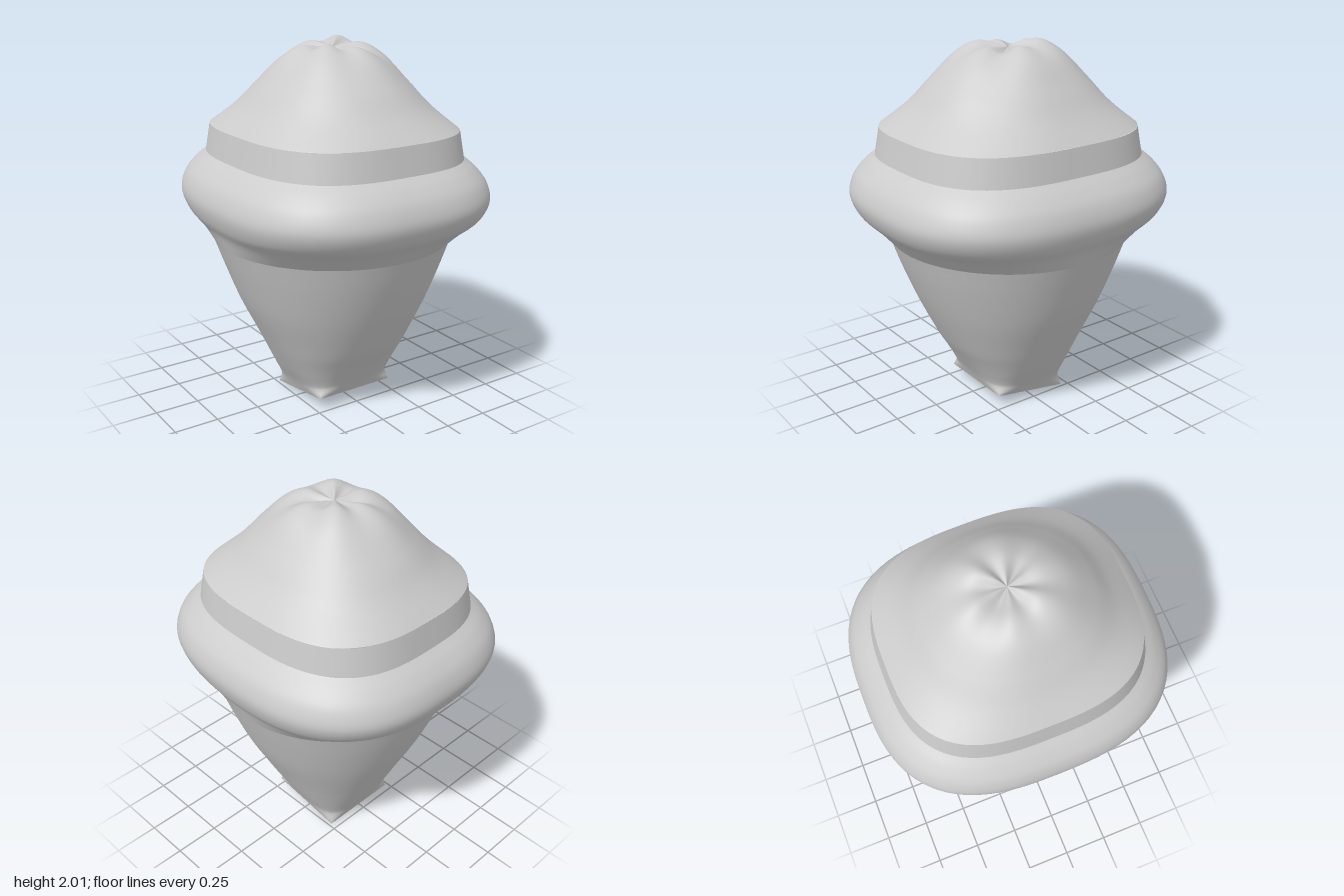
import * as THREE from 'three';

const SEG = 96;

// Lofts rings given as [y, halfX, halfZ, k]; k = 1 / superellipse exponent (0 square, 0.5 round)
function loft(name, stations, steps, material, warp) {
  const size = new THREE.CatmullRomCurve3(stations.map(([y, x, z]) => new THREE.Vector3(x, y, z)));
  const round = new THREE.CatmullRomCurve3(stations.map((s) => new THREE.Vector3(s[3], s[0], 0)));
  const positions = [];
  const index = [];
  for (let i = 0; i <= steps; i++) {
    const half = size.getPoint(i / steps);
    const k = round.getPoint(i / steps).x;
    for (let j = 0; j < SEG; j++) {
      const angle = (j / SEG) * Math.PI * 2;
      const p = ringPoint(angle, half, k);
      if (warp) warp(p, angle);
      positions.push(p.x, p.y, p.z);
      if (i < steps) {
        const a = i * SEG + j;
        const b = i * SEG + ((j + 1) % SEG);
        index.push(a, a + SEG, b, b, a + SEG, b + SEG);
      }
    }
  }
  const geometry = new THREE.BufferGeometry();
  geometry.setAttribute('position', new THREE.Float32BufferAttribute(positions, 3));
  geometry.setIndex(index);
  geometry.computeVertexNormals();
  const mesh = new THREE.Mesh(geometry, material);
  mesh.name = name;
  return mesh;
}

function ringPoint(angle, half, k) {
  const c = Math.cos(angle);
  const s = Math.sin(angle);
  const ac = Math.abs(c);
  const as = Math.abs(s);
  const r = k < 0.01
    ? 1 / Math.max(ac, as)
    : Math.pow(Math.pow(ac, 1 / k) + Math.pow(as, 1 / k), -k);
  return new THREE.Vector3(half.x * r * c, half.y, half.z * r * s);
}

// Slants the foot: high at the front, low at the back
function slant(p) {
  const fade = Math.max(0, 1 - (p.y - 0.035) / 0.3);
  p.y += 0.16 * p.z * fade;
  p.z += 0.01 * fade;
}

// Folds the swirl around the tip into soft lumps
function swirl(p, angle) {
  const r = Math.hypot(p.x, p.z) / 0.14;
  const a = angle + Math.PI / 4;
  const lumps = 0.014 * Math.cos(2 * a) + 0.008 * Math.cos(a) + 0.012 * Math.cos(6 * a);
  p.y += lumps * r * Math.exp(1 - r);
}

export function createModel() {
  const group = new THREE.Group();
  group.name = 'iceCreamCone';
  const grey = new THREE.MeshStandardMaterial({ color: 0xcccccc });
  grey.name = 'plain grey';

  // Cone: square foot opening into a round rim
  group.add(loft('cone', [
    [0.035, 0.232, 0.22, 0],
    [0.1, 0.262, 0.25, 0.27],
    [0.2, 0.318, 0.305, 0.36],
    [0.4, 0.42, 0.415, 0.43],
    [0.6, 0.52, 0.515, 0.47],
    [0.8, 0.6, 0.6, 0.49],
    [0.95, 0.655, 0.655, 0.5],
  ], 48, grey, slant));

  // Underside of the foot
  const foot = new THREE.BufferGeometry();
  const corners = [[1, 1], [-1, 1], [-1, -1], [1, -1]].flatMap(([x, z]) => {
    const p = new THREE.Vector3(0.232 * x, 0.035, 0.22 * z);
    slant(p);
    return [p.x, p.y, p.z];
  });
  foot.setAttribute('position', new THREE.Float32BufferAttribute(corners, 3));
  foot.setIndex([0, 1, 2, 0, 2, 3]);
  foot.computeVertexNormals();
  const footMesh = new THREE.Mesh(foot, grey);
  footMesh.name = 'footUnderside';
  group.add(footMesh);

  // Bulging brim
  group.add(loft('brim', [
    [0.95, 0.655, 0.655, 0.5],
    [1.03, 0.685, 0.72, 0.43],
    [1.1, 0.725, 0.785, 0.38],
    [1.19, 0.745, 0.815, 0.36],
    [1.28, 0.72, 0.79, 0.355],
    [1.35, 0.665, 0.735, 0.35],
    [1.4, 0.61, 0.673, 0.345],
  ], 36, grey));

  // Straight band under the swirl
  group.add(loft('band', [
    [1.4, 0.61, 0.673, 0.345],
    [1.55, 0.587, 0.647, 0.345],
  ], 4, grey));

  // Swirled top
  group.add(loft('swirlTop', [
    [1.55, 0.587, 0.647, 0.345],
    [1.67, 0.48, 0.525, 0.42],
    [1.79, 0.388, 0.425, 0.47],
    [1.92, 0.272, 0.29, 0.5],
    [1.972, 0.17, 0.18, 0.5],
    [1.968, 0.08, 0.085, 0.5],
    [1.96, 0, 0, 0.5],
  ], 48, grey, swirl));

  return group;
}
